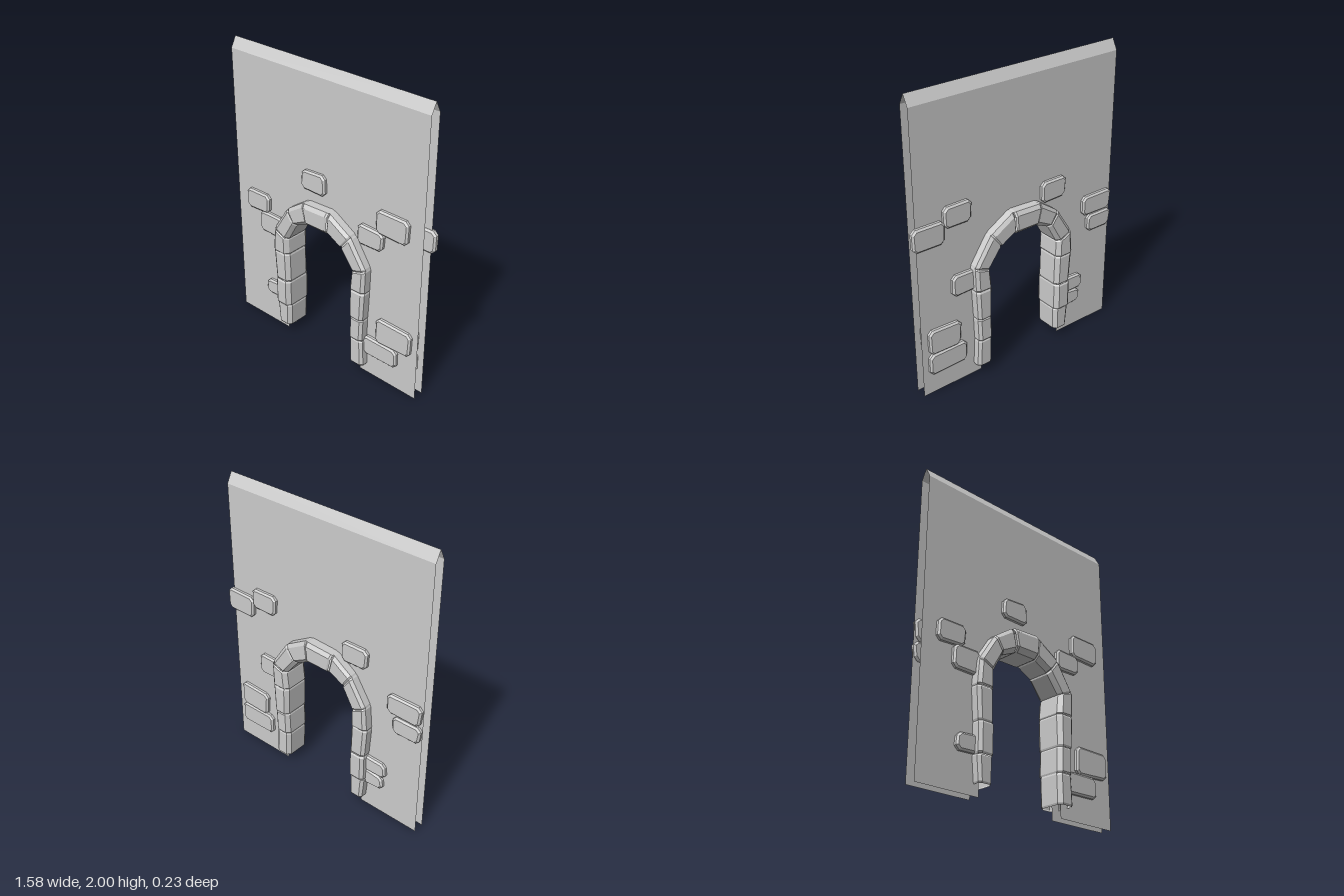
import * as THREE from 'three';

const mat = new THREE.MeshStandardMaterial({ color: 0xcccccc, flatShading: true, side: THREE.DoubleSide });

// joints between arch stones, left foot to right foot: outer x, y, inner x, y
const joints = [
  [-0.385, 0.07, -0.285, 0.07], [-0.4, 0.235, -0.28, 0.235], [-0.4, 0.43, -0.28, 0.43],
  [-0.415, 0.645, -0.285, 0.645], [-0.4, 0.815, -0.29, 0.76], [-0.285, 0.995, -0.215, 0.895],
  [-0.14, 1.095, -0.105, 0.945], [0.075, 1.105, 0.06, 0.945], [0.25, 1.0, 0.165, 0.89],
  [0.375, 0.81, 0.26, 0.77], [0.37, 0.64, 0.245, 0.64], [0.36, 0.43, 0.25, 0.43],
  [0.355, 0.265, 0.245, 0.265], [0.365, 0.07, 0.25, 0.07],
];
// half depth of each stone
const depths = [0.094, 0.106, 0.1, 0.106, 0.102, 0.1, 0.113, 0.103, 0.1, 0.106, 0.105, 0.1, 0.094];

// bricks: x min, x max, y min, y max
const frontBricks = [
  [-0.185, 0.015, 1.175, 1.31], [0.42, 0.655, 1.09, 1.25], [0.28, 0.475, 0.97, 1.105],
  [-0.685, -0.485, 0.86, 0.995], [-0.57, -0.37, 0.715, 0.87], [-0.53, -0.36, 0.235, 0.345],
  [0.44, 0.71, 0.305, 0.485], [0.34, 0.61, 0.165, 0.305],
];
const backBricks = [
  [0.565, 0.785, 1.05, 1.2], [0.37, 0.565, 1.135, 1.28], [-0.375, -0.175, 1.06, 1.2],
  [-0.78, -0.535, 0.85, 0.99], [-0.785, -0.585, 0.715, 0.835], [0.34, 0.52, 0.65, 0.8],
  [0.47, 0.71, 0.3, 0.47], [0.43, 0.715, 0.155, 0.295], [-0.545, -0.37, 0.31, 0.42],
  [-0.525, -0.37, 0.2, 0.31],
];

let seed = 7;
const rand = () => ((seed = (seed * 16807) % 2147483647) / 2147483647 - 0.5);

function mesh(geometry, name, parent) {
  const m = new THREE.Mesh(geometry, mat);
  m.name = name;
  parent.add(m);
  return m;
}

// A stone is a U-shaped shell: open towards the hollow wall, with pinched ends
function stoneGeometry(a, b, depth) {
  const section = [ // distance from outer to inner side, depth fraction
    [0, 0.25], [0, 0.84], [0.17, 1], [0.8, 1], [1, 0.72],
  ];
  const profile = [...section, ...section.map(([s, z]) => [s, -z]).reverse()];
  const rings = [[0, 0.93], [0.06, 1], [0.94, 1], [1, 0.93]];
  const pos = [], index = [], n = profile.length;
  for (const [t, k] of rings) {
    const p = a.map((v, i) => THREE.MathUtils.lerp(v, b[i], t));
    for (const [s, z] of profile) {
      const u = 0.5 + (s - 0.5) * k;
      pos.push(p[0] + (p[2] - p[0]) * u, p[1] + (p[3] - p[1]) * u, z * depth * k);
    }
  }
  for (let r = 0; r < rings.length - 1; r++) {
    for (let i = 0; i < n - 1; i++) {
      const q = r * n + i;
      index.push(q, q + 1, q + n, q + 1, q + n + 1, q + n);
    }
  }
  const g = new THREE.BufferGeometry();
  g.setAttribute('position', new THREE.Float32BufferAttribute(pos, 3));
  g.setIndex(index);
  g.computeVertexNormals();
  return g;
}

// Slightly crooked slab with cut corners and bevelled rims
function brickGeometry([x0, x1, y0, y1]) {
  const bevel = 0.012, cut = 0.018;
  const w = (x1 - x0) / 2 - bevel, h = (y1 - y0) / 2 - bevel;
  const pts = [];
  [[1, 1], [-1, 1], [-1, -1], [1, -1]].forEach(([sx, sy], i) => {
    const x = sx * (w + rand() * 0.01), y = sy * (h + rand() * 0.012);
    const pair = [new THREE.Vector2(x, y - sy * cut), new THREE.Vector2(x - sx * cut, y)];
    pts.push(...(i % 2 ? pair.reverse() : pair));
  });
  const g = new THREE.ExtrudeGeometry(new THREE.Shape(pts), {
    depth: 0.018, bevelEnabled: true, bevelSize: bevel, bevelThickness: 0.011, bevelSegments: 1,
  });
  return g.translate((x0 + x1) / 2, (y0 + y1) / 2, 0.035);
}

export function createModel() {
  const group = new THREE.Group();
  const L = -0.79, R = 0.755, eave = 1.93, half = 0.037;

  // wall skins with a doorway, joined by a ridge
  const opening = joints.slice(3, 11).map(([ox, oy, ix, iy]) => [(ox + ix) / 2, (oy + iy) / 2]);
  const outline = [[L, 0], [-0.345, 0], ...opening, [0.305, 0], [R, 0], [R, eave], [L, eave]];
  const shape = new THREE.Shape(outline.map(([x, y]) => new THREE.Vector2(x, y)));
  for (const side of [1, -1]) {
    const label = side > 0 ? 'front' : 'back';
    mesh(new THREE.ShapeGeometry(shape), label + 'Wall', group).position.z = side * half;
    const slope = new THREE.PlaneGeometry(R - L, Math.hypot(2 - eave, half));
    slope.rotateX(-side * Math.atan2(half, 2 - eave));
    slope.translate((L + R) / 2, (2 + eave) / 2, side * half / 2);
    mesh(slope, label + 'TopSlope', group);
  }

  // arch stones
  const arch = new THREE.Group();
  arch.name = 'arch';
  group.add(arch);
  depths.forEach((d, i) => {
    mesh(stoneGeometry(joints[i], joints[i + 1], d), i === 6 ? 'keystone' : 'archStone', arch);
  });

  // scattered bricks on both faces
  const bricks = new THREE.Group();
  bricks.name = 'bricks';
  group.add(bricks);
  frontBricks.forEach((b) => mesh(brickGeometry(b), 'frontBrick', bricks));
  backBricks.forEach(([x0, x1, y0, y1]) => {
    mesh(brickGeometry([-x1, -x0, y0, y1]), 'backBrick', bricks).rotation.y = Math.PI;
  });
  return group;
}
